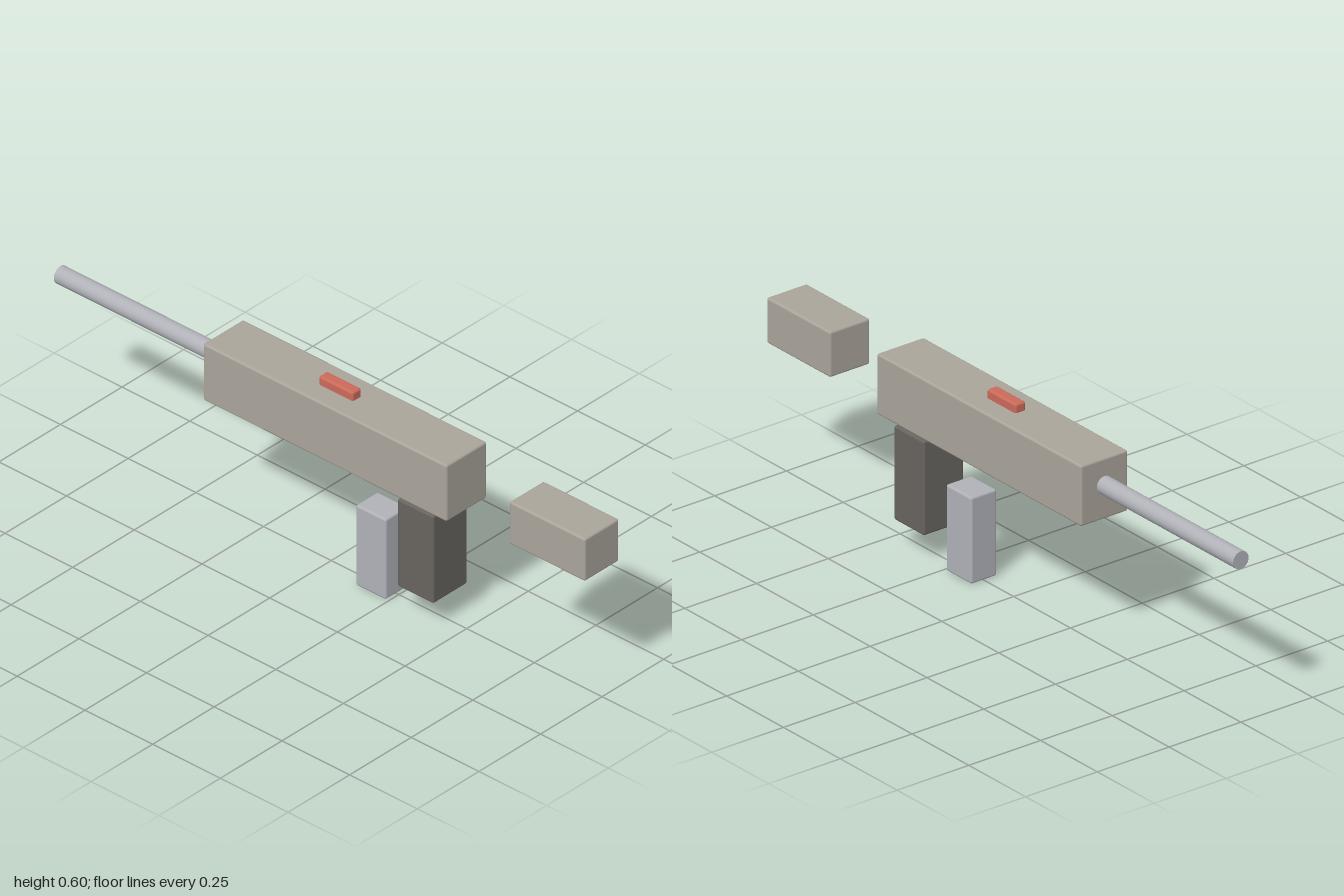
import * as THREE from 'three';
import { RoundedBoxGeometry } from 'three/addons/geometries/RoundedBoxGeometry.js';

const material = (color) => new THREE.MeshStandardMaterial({ color });

// Softly bevelled block given by its extents along each axis, centred on x = 0
function block(name, halfWidth, [y0, y1], [z0, z1], mat) {
  const geometry = new RoundedBoxGeometry(halfWidth * 2, y1 - y0, z1 - z0, 2, 0.007);
  const mesh = new THREE.Mesh(geometry, mat);
  mesh.name = name;
  mesh.position.set(0, (y0 + y1) / 2, (z0 + z1) / 2);
  return mesh;
}

export function createModel() {
  const model = new THREE.Group();
  model.name = 'blockRifle';

  const shell = material(0xaaa59b);
  const dark = material(0x686560);
  const metal = material(0xb0b2b8);
  const accent = material(0xcc6a5a);

  // Main body with the separate blocks set around it
  model.add(
    block('receiver', 0.082, [0.388, 0.573], [-0.4, 0.5], shell),
    block('stock', 0.07, [0.41, 0.549], [0.72, 1], shell),
    block('grip', 0.07, [0.087, 0.374], [0.307, 0.44], dark),
    block('magazine', 0.045, [0, 0.263], [0.13, 0.242], metal),
    block('sight', 0.018, [0.562, 0.6], [-0.031, 0.096], accent),
  );

  // Round barrel pointing to the back
  const barrel = new THREE.Mesh(new THREE.CylinderGeometry(0.027, 0.027, 0.605, 32), metal);
  barrel.name = 'barrel';
  barrel.rotation.x = Math.PI / 2;
  barrel.position.set(0, 0.492, -0.6975);
  model.add(barrel);

  return model;
}
